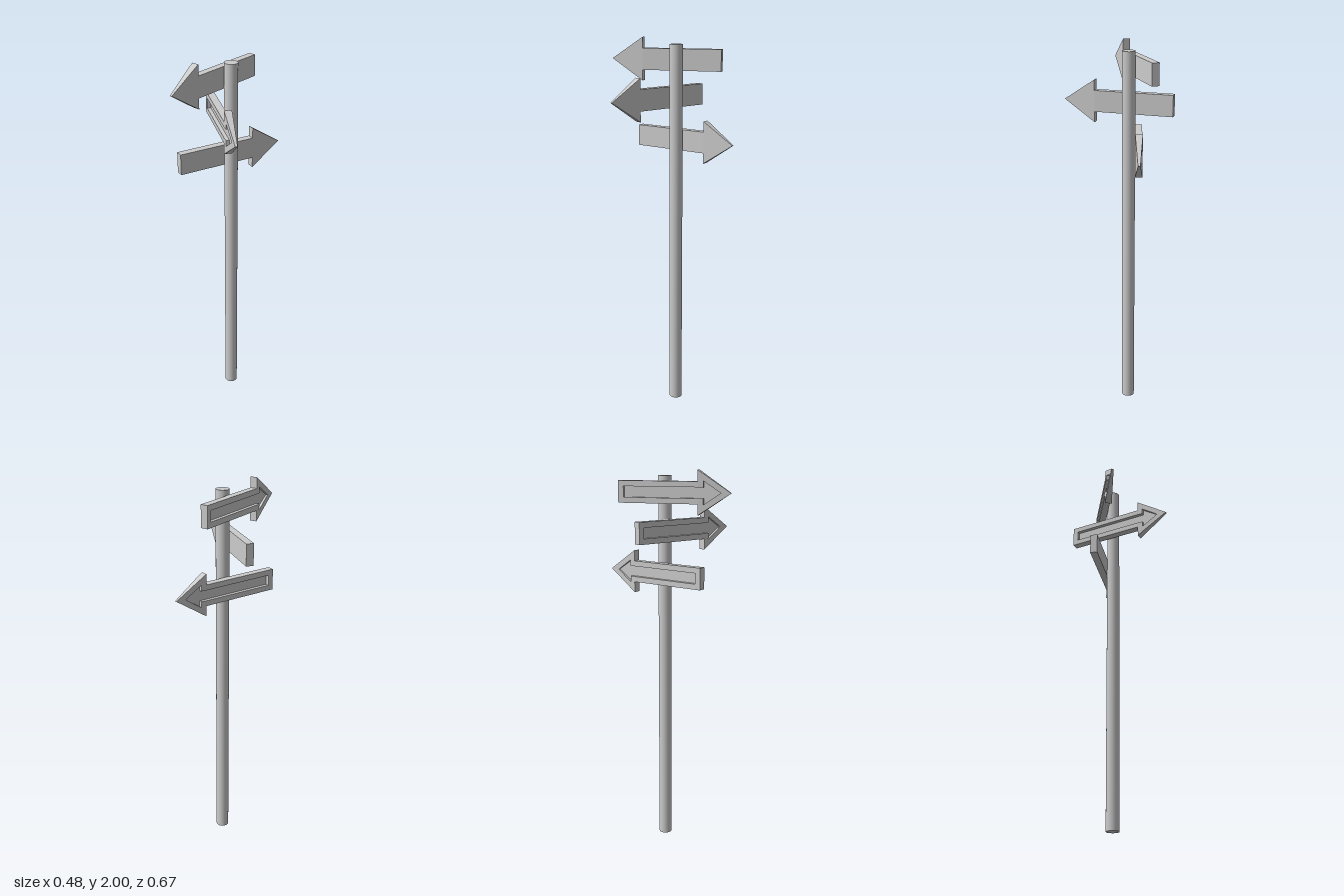
import * as THREE from 'three';

const material = new THREE.MeshStandardMaterial({ color: 0xcccccc });

// Arrow board proportions: neck = where the head starts, tip = full length
const NECK = 0.413, TIP = 0.579, HALF = 0.019, TIP_SCALE = 0.3;

// Extrudes an outline between z0 and z1, thinning it from the neck towards the tip
function plate(name, points, z0, z1) {
  const shape = new THREE.Shape(points.map(([x, y]) => new THREE.Vector2(x, y)));
  const geometry = new THREE.ExtrudeGeometry(shape, { depth: z1 - z0, bevelEnabled: false });
  geometry.translate(0, 0, z0);
  const p = geometry.attributes.position;
  for (let i = 0; i < p.count; i++) {
    const t = Math.max(0, (p.getX(i) - NECK) / (TIP - NECK));
    p.setZ(i, p.getZ(i) * (1 - t * (1 - TIP_SCALE)));
  }
  geometry.computeVertexNormals();
  const mesh = new THREE.Mesh(geometry, material);
  mesh.name = name;
  return mesh;
}

// Arrow with its tail at the origin, pointing along +x, recessed on its +z face
function arrowSign(name) {
  const sign = new THREE.Group();
  sign.name = name;
  const head = [[NECK, -0.11], [TIP, 0], [NECK, 0.11]];
  sign.add(
    plate('shaftBack', [[0, -0.055], [NECK, -0.055], [NECK, 0.055], [0, 0.055]], -HALF, 0),
    plate('headBack', head, -HALF, 0),
    // raised rim around the recess
    plate('shaftRim', [
      [0, -0.055], [NECK, -0.055], [NECK, -0.027], [0.028, -0.027],
      [0.028, 0.027], [NECK, 0.027], [NECK, 0.055], [0, 0.055],
    ], 0, HALF),
    plate('headRim', [
      ...head, [NECK, 0.027], [0.441, 0.027], [0.441, 0.058],
      [0.528, 0], [0.441, -0.058], [0.441, -0.027], [NECK, -0.027],
    ], 0, HALF),
  );
  return sign;
}

export function createModel() {
  const model = new THREE.Group();
  model.name = 'signpost';

  // Pole
  const pole = new THREE.Mesh(new THREE.CylinderGeometry(0.034, 0.034, 1.97, 32), material);
  pole.name = 'pole';
  pole.position.set(-0.019, 0.985, -0.023);
  model.add(pole);

  // Signs: tail position, direction of the tip in x and z, and whether the recess is turned over
  const signs = [
    { name: 'topSign', tail: [-0.074, 1.89, -0.247], dir: [0, 1], flip: false },
    { name: 'middleSign', tail: [-0.232, 1.70, -0.1], dir: [0.47, 0.338], flip: false },
    { name: 'bottomSign', tail: [-0.158, 1.48, 0.211], dir: [0.195, -0.545], flip: true },
  ];
  for (const { name, tail, dir, flip } of signs) {
    const sign = arrowSign(name);
    sign.position.set(...tail);
    sign.rotation.set(flip ? Math.PI : 0, -Math.atan2(dir[1], dir[0]), 0, 'YXZ');
    model.add(sign);
  }
  return model;
}
